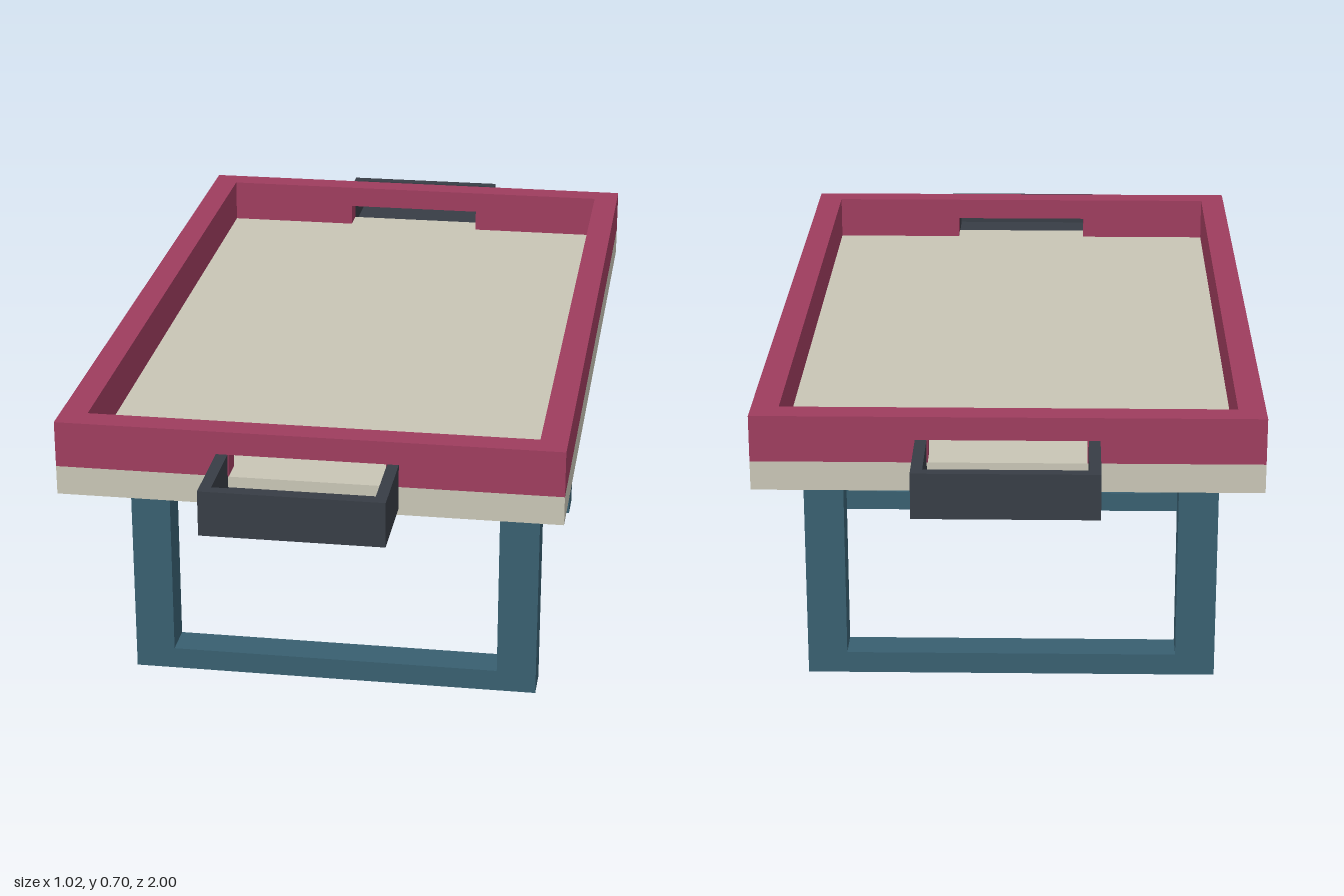
import * as THREE from 'three';

const paint = (color) => new THREE.MeshStandardMaterial({ color });
const RIM = paint(0x9e3d5e), FIELD = paint(0xc8c5b5), LEG = paint(0x385f70), TRAY = paint(0x373d45);

// Outer size of the table and its heights
const W = 0.508, L = 0.82, RIM_T = 0.055;
const SLAB_BOTTOM = 0.55, FIELD_Y = 0.61, RIM_TOP = 0.705, GOAL_TOP = 0.657;

// Box given by its limits
function box(name, mat, [x0, x1], [y0, y1], [z0, z1]) {
  const mesh = new THREE.Mesh(new THREE.BoxGeometry(x1 - x0, y1 - y0, z1 - z0), mat);
  mesh.name = name;
  mesh.position.set((x0 + x1) / 2, (y0 + y1) / 2, (z0 + z1) / 2);
  return mesh;
}

function outline(points) {
  return points.map(([x, y]) => new THREE.Vector2(x, y));
}

const rect = (w, y0, y1) => outline([[-w, y0], [w, y0], [w, y1], [-w, y1]]);

// Upright plate in the xy plane, extruded from z0 along +z
function plate(name, mat, shape, z0, depth) {
  const geo = new THREE.ExtrudeGeometry(shape, { depth, bevelEnabled: false });
  const mesh = new THREE.Mesh(geo, mat);
  mesh.name = name;
  mesh.position.z = z0;
  return mesh;
}

// Everything at one end of the table, built at +z
function createEnd() {
  const end = new THREE.Group();
  const inner = W - RIM_T, slot = 0.157;

  // End rim with the goal opening cut from its lower edge
  const rimShape = new THREE.Shape(outline([
    [-inner, FIELD_Y], [-slot, FIELD_Y], [-slot, GOAL_TOP], [slot, GOAL_TOP],
    [slot, FIELD_Y], [inner, FIELD_Y], [inner, RIM_TOP], [-inner, RIM_TOP],
  ]));
  end.add(plate('endRim', RIM, rimShape, L - RIM_T, RIM_T));

  // Goal tray: floor, two side walls and an outer wall, open on top
  const tray = new THREE.Group();
  tray.name = 'goalTray';
  const hw = 0.182, t = 0.023, y0 = 0.564, floor = y0 + t;
  tray.add(box('trayFloor', TRAY, [-hw, hw], [y0, floor], [L, 1]));
  tray.add(box('trayOuterWall', TRAY, [-hw, hw], [floor, GOAL_TOP], [1 - t, 1]));
  for (const s of [-1, 1]) {
    const wall = box('traySideWall', TRAY, [hw - t, hw], [floor, GOAL_TOP], [L, 1 - t]);
    wall.position.x *= s;
    tray.add(wall);
  }
  end.add(tray);

  // Rectangular leg frame
  const legShape = new THREE.Shape(rect(0.437, 0, SLAB_BOTTOM));
  legShape.holes.push(new THREE.Path(rect(0.353, 0.047, 0.478)));
  end.add(plate('legFrame', LEG, legShape, 0.426, 0.077));
  return end;
}

export function createModel() {
  const model = new THREE.Group();
  model.name = 'gameTable';

  // Playing field slab
  model.add(box('playingField', FIELD, [-W, W], [SLAB_BOTTOM, FIELD_Y], [-L, L]));

  // Long side rims
  for (const s of [-1, 1]) {
    const side = box('sideRim', RIM, [W - RIM_T, W], [FIELD_Y, RIM_TOP], [-L, L]);
    side.position.x *= s;
    model.add(side);
  }

  // Two matching ends
  ['frontEnd', 'backEnd'].forEach((name, i) => {
    const end = createEnd();
    end.name = name;
    end.rotation.y = i * Math.PI;
    model.add(end);
  });
  return model;
}
